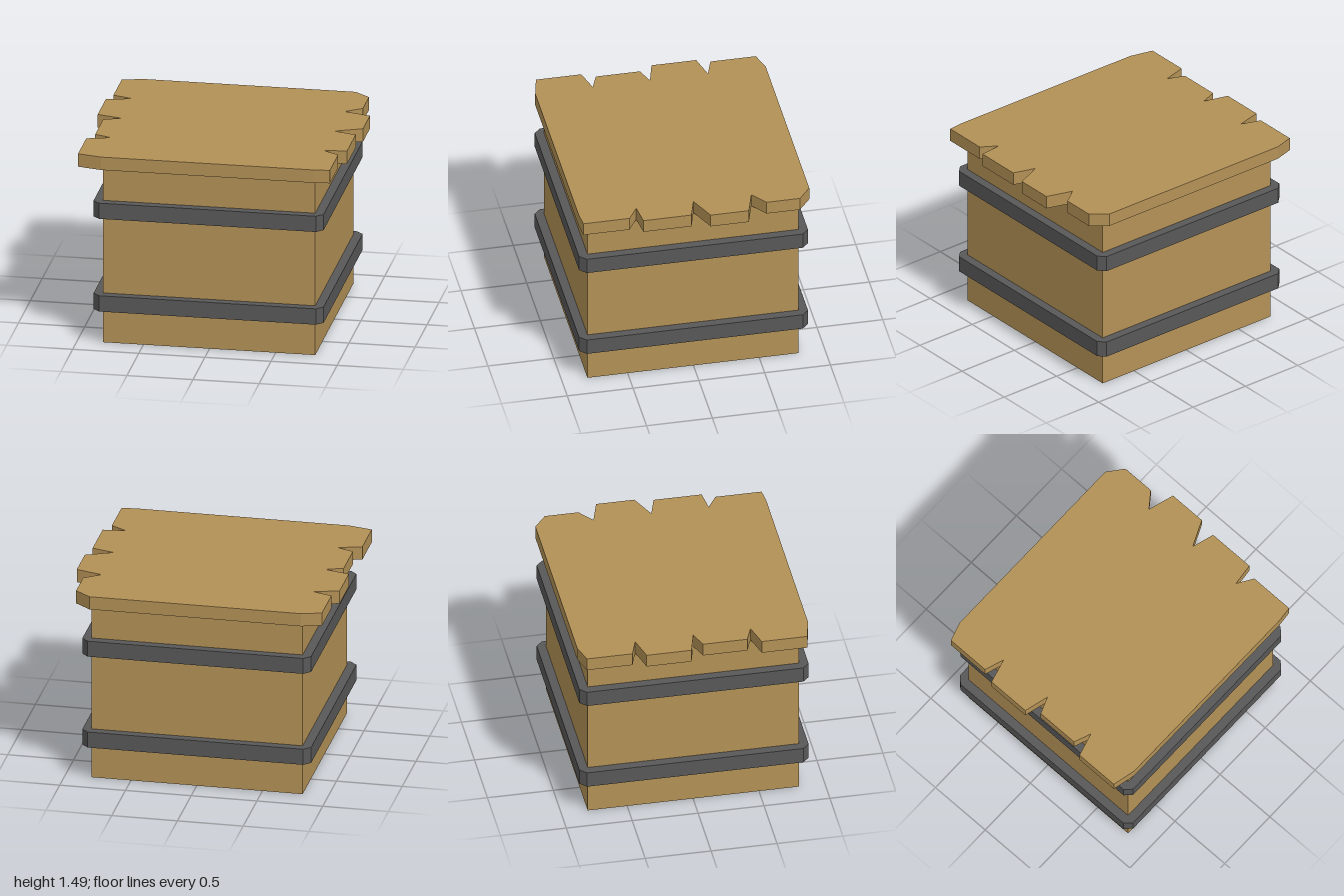
import * as THREE from 'three';

const wood = new THREE.MeshStandardMaterial({ name: 'wood', color: 0xb39156, flatShading: true });
const iron = new THREE.MeshStandardMaterial({ name: 'darkIron', color: 0x585858, flatShading: true });

// Extrudes an outline of [x, z] points upward from y0 to y1
function slab(name, outline, y0, y1, material) {
  const shape = new THREE.Shape(outline.map(([x, z]) => new THREE.Vector2(x, -z)));
  const geometry = new THREE.ExtrudeGeometry(shape, { depth: y1 - y0, bevelEnabled: false });
  geometry.rotateX(-Math.PI / 2).translate(0, y0, 0);
  const mesh = new THREE.Mesh(geometry, material);
  mesh.name = name;
  return mesh;
}

export function createModel() {
  const crate = new THREE.Group();
  crate.name = 'crate';

  // Square wooden body
  const body = new THREE.Mesh(new THREE.BoxGeometry(1.605, 1.385, 1.605), wood);
  body.name = 'body';
  body.position.set(-0.003, 0.6925, 0.003);
  crate.add(body);

  // Two metal bands with chamfered corners
  const h = 0.87, c = 0.82;
  const octagon = [[-c, -h], [c, -h], [h, -c], [h, c], [c, h], [-c, h], [-h, c], [-h, -c]]
    .map(([x, z]) => [x - 0.004, z + 0.003]);
  crate.add(slab('lowerBand', octagon, 0.265, 0.39, iron));
  crate.add(slab('upperBand', octagon, 0.998, 1.122, iron));

  // Lid of four joined planks with ragged ends
  const rightEnds = [
    [0.8, -0.88], [0.92, -0.785], [0.92, -0.53],
    [0.8, -0.44], [1, -0.38], [1, -0.09],
    [0.8, 0], [0.97, 0.05], [0.97, 0.415],
    [0.8, 0.435], [0.92, 0.51], [0.92, 0.86], [0.8, 0.872],
  ];
  const leftEnds = [
    [-0.81, 0.872], [-0.99, 0.83], [-0.99, 0.485],
    [-0.81, 0.435], [-0.94, 0.385], [-0.94, 0.05],
    [-0.81, 0], [-1, -0.05], [-1, -0.39],
    [-0.81, -0.44], [-0.96, -0.49], [-0.96, -0.835], [-0.81, -0.88],
  ];
  crate.add(slab('lid', [...rightEnds, ...leftEnds], 1.385, 1.487, wood));

  return crate;
}
